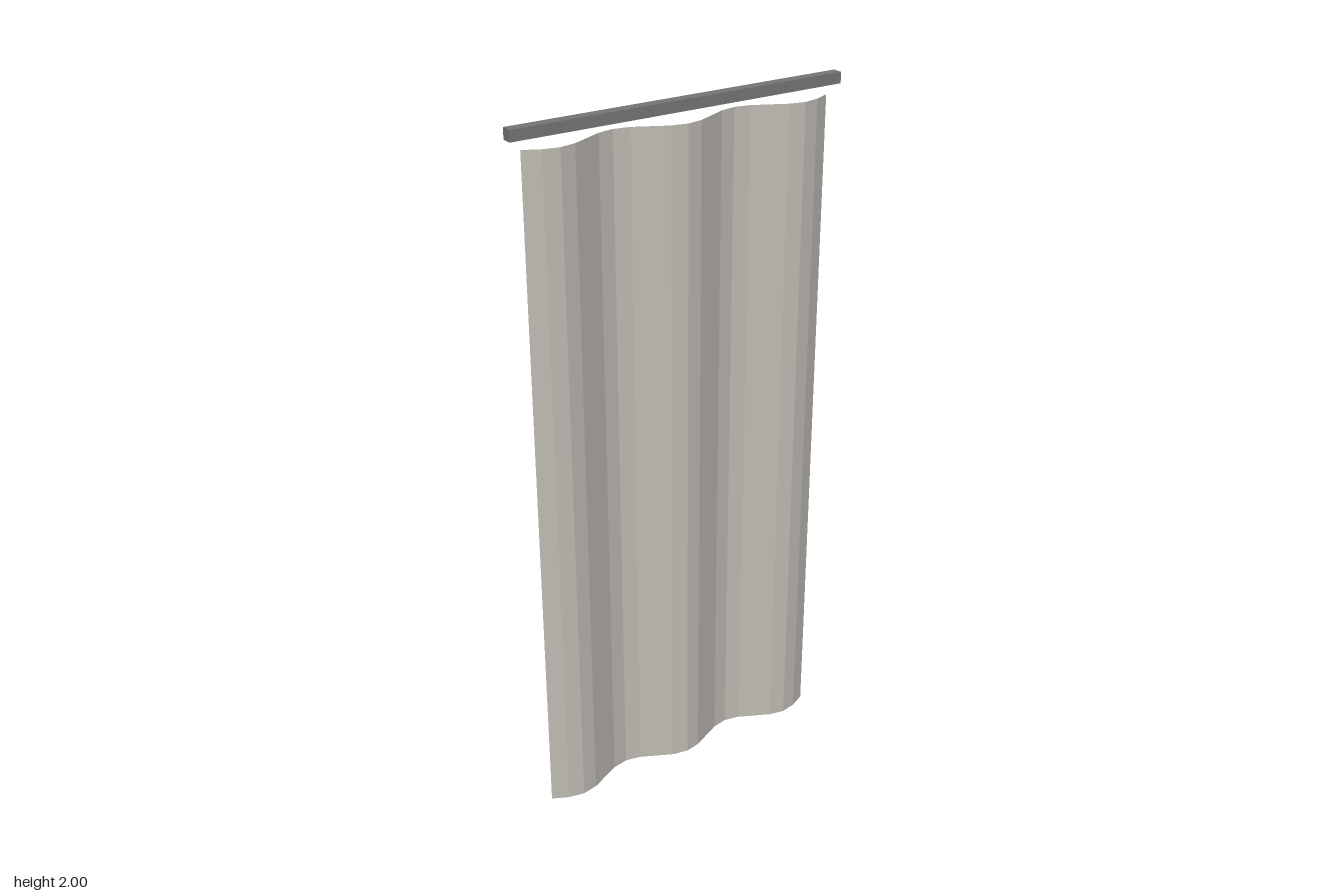
import * as THREE from 'three';

export function createModel() {
  const group = new THREE.Group();
  const fabric = new THREE.MeshStandardMaterial({ color: 0xbfbab3, flatShading: true, side: THREE.DoubleSide });
  fabric.name = 'warm grey fabric';
  const metal = new THREE.MeshStandardMaterial({ color: 0x787674 });
  metal.name = 'dark grey rail';

  // Hanging curtain: a sheet folded into two and a half waves
  const width = 0.905, height = 1.943, depth = 0.031;
  const sheet = new THREE.PlaneGeometry(width, height, 20, 1);
  const pos = sheet.attributes.position;
  for (let i = 0; i < pos.count; i++) {
    const u = pos.getX(i) / width + 0.5;
    pos.setZ(i, depth * Math.sin(u * 5 * Math.PI));
  }
  sheet.computeVertexNormals();
  const curtain = new THREE.Mesh(sheet, fabric);
  curtain.name = 'curtain';
  curtain.position.y = height / 2;
  group.add(curtain);

  // Straight square rail floating just above the curtain
  const rail = new THREE.Mesh(new THREE.BoxGeometry(0.974, 0.03, 0.03), metal);
  rail.name = 'rail';
  rail.position.y = 1.985;
  group.add(rail);

  return group;
}
